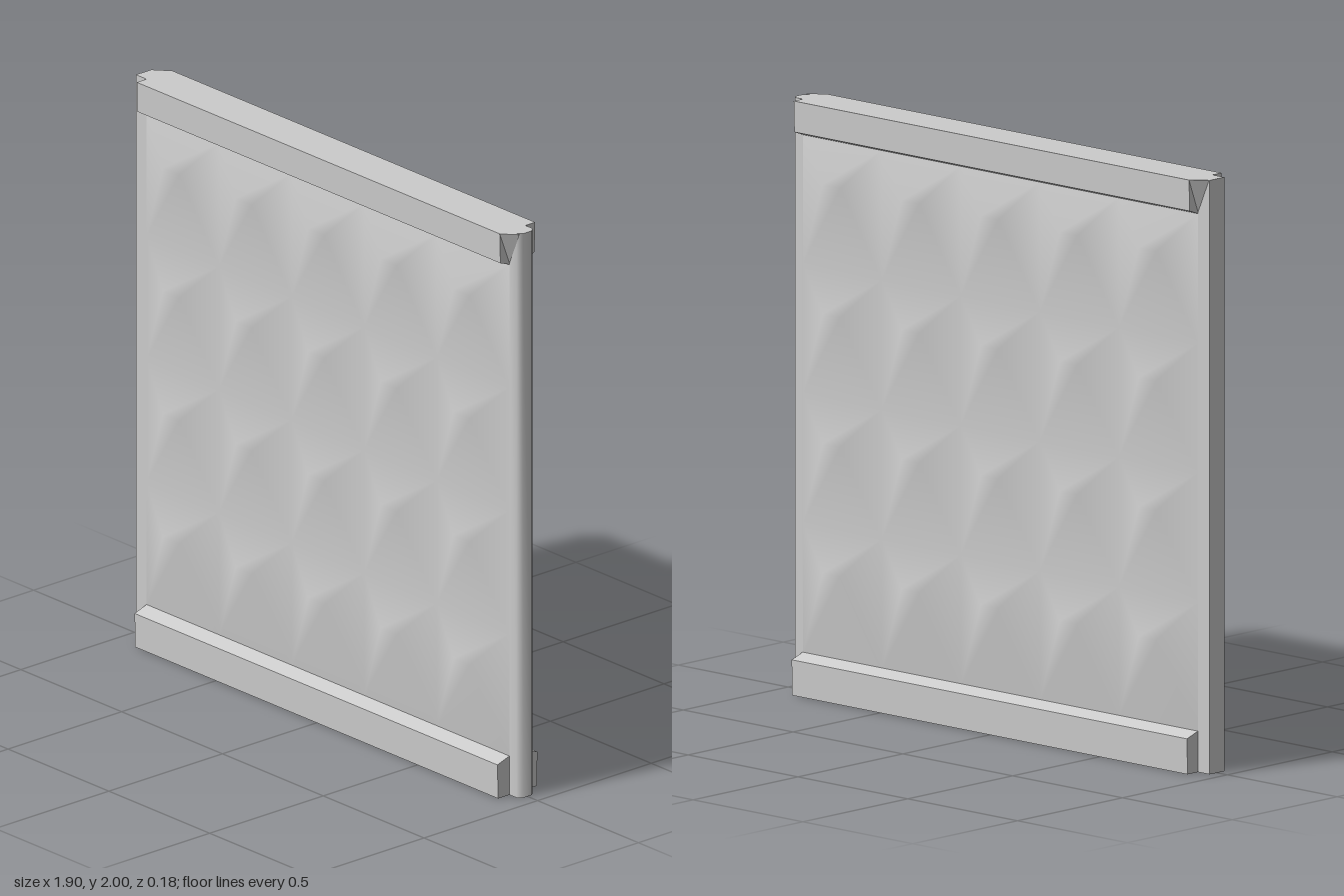
import * as THREE from 'three';
import { toCreasedNormals } from 'three/addons/utils/BufferGeometryUtils.js';
import { ConvexGeometry } from 'three/addons/geometries/ConvexGeometry.js';

const material = new THREE.MeshStandardMaterial({ color: 0xcccccc });
const HALF_W = 0.9, Y0 = 0.135, Y1 = 1.88, SKIN = 0.035, PEAK = 0.087;
const COLS = 5, ROWS = 4;

function addMesh(parent, name, geometry) {
  const mesh = new THREE.Mesh(geometry, material);
  mesh.name = name;
  parent.add(mesh);
  return mesh;
}

function extrude(points, depth) {
  const shape = new THREE.Shape(points.map(([x, y]) => new THREE.Vector2(x, y)));
  return new THREE.ExtrudeGeometry(shape, { depth, bevelEnabled: false });
}

// Smooth-shaded field of low hipped pyramids, peaks above the cell centres
function pyramidField() {
  const pos = [], index = [];
  const cw = (2 * HALF_W) / COLS, ch = (Y1 - Y0) / ROWS;
  for (let r = 0; r <= ROWS; r++)
    for (let c = 0; c <= COLS; c++) pos.push(-HALF_W + c * cw, Y0 + r * ch, SKIN);
  for (let r = 0; r < ROWS; r++) {
    for (let c = 0; c < COLS; c++) {
      const a = r * (COLS + 1) + c, b = a + 1, d = a + COLS + 1, e = d + 1;
      const p = pos.length / 3, q = p + 1;
      const x = -HALF_W + (c + 0.5) * cw, y = Y0 + (r + 0.68) * ch;
      pos.push(x - 0.04, y, PEAK, x + 0.04, y, PEAK);
      index.push(a, b, q, a, q, p, b, e, q, e, d, p, e, p, q, d, a, p);
    }
  }
  const g = new THREE.BufferGeometry();
  g.setAttribute('position', new THREE.Float32BufferAttribute(pos, 3));
  g.setIndex(index);
  g.computeVertexNormals();
  return g;
}

// Rail running along x; half section given as [z, y], mirrored front to back
function rail(half) {
  const points = [...half, ...half.map(([z, y]) => [-z, y]).reverse()];
  return extrude(points, 2 * HALF_W).translate(0, 0, -HALF_W).rotateY(Math.PI / 2);
}

// Full-height end strip; plan given as [x, z]
function endStrip(plan) {
  const g = extrude(plan.map(([x, z]) => [x, -z]), 2).rotateX(-Math.PI / 2);
  return toCreasedNormals(g, 0.9);
}

export function createModel() {
  const group = new THREE.Group();
  group.name = 'fencePanel';

  // Patterned faces
  const field = pyramidField();
  addMesh(group, 'frontPyramids', field);
  addMesh(group, 'backPyramids', field).rotation.y = Math.PI;

  // Thick rails at top and bottom
  addMesh(group, 'bottomRail', rail([[0.085, 0], [0.088, 0.12], [SKIN, 0.138]]));
  addMesh(group, 'topRail', rail([[SKIN, 1.88], [0.075, 1.895], [0.078, 2]]));

  // End strips: rounded tongue on one side, square edge on the other
  addMesh(group, 'leftEnd', endStrip([
    [0.9, SKIN], [0.935, SKIN], [0.95, 0.02], [0.95, -0.02], [0.935, -SKIN], [0.9, -SKIN],
  ]));
  addMesh(group, 'rightEnd', endStrip([
    [-0.9, -SKIN], [-0.953, -SKIN], [-0.953, SKIN], [-0.9, SKIN],
  ]));

  // Tapered corner fillets beside the top rail, on opposite corners
  const fillet = new ConvexGeometry([
    [0.9, 2, SKIN], [0.95, 2, SKIN], [0.9, 2, 0.078], [0.9, 1.885, SKIN],
  ].map((p) => new THREE.Vector3(...p)));
  addMesh(group, 'frontCornerFillet', fillet);
  addMesh(group, 'backCornerFillet', fillet).rotation.y = Math.PI;

  return group;
}
